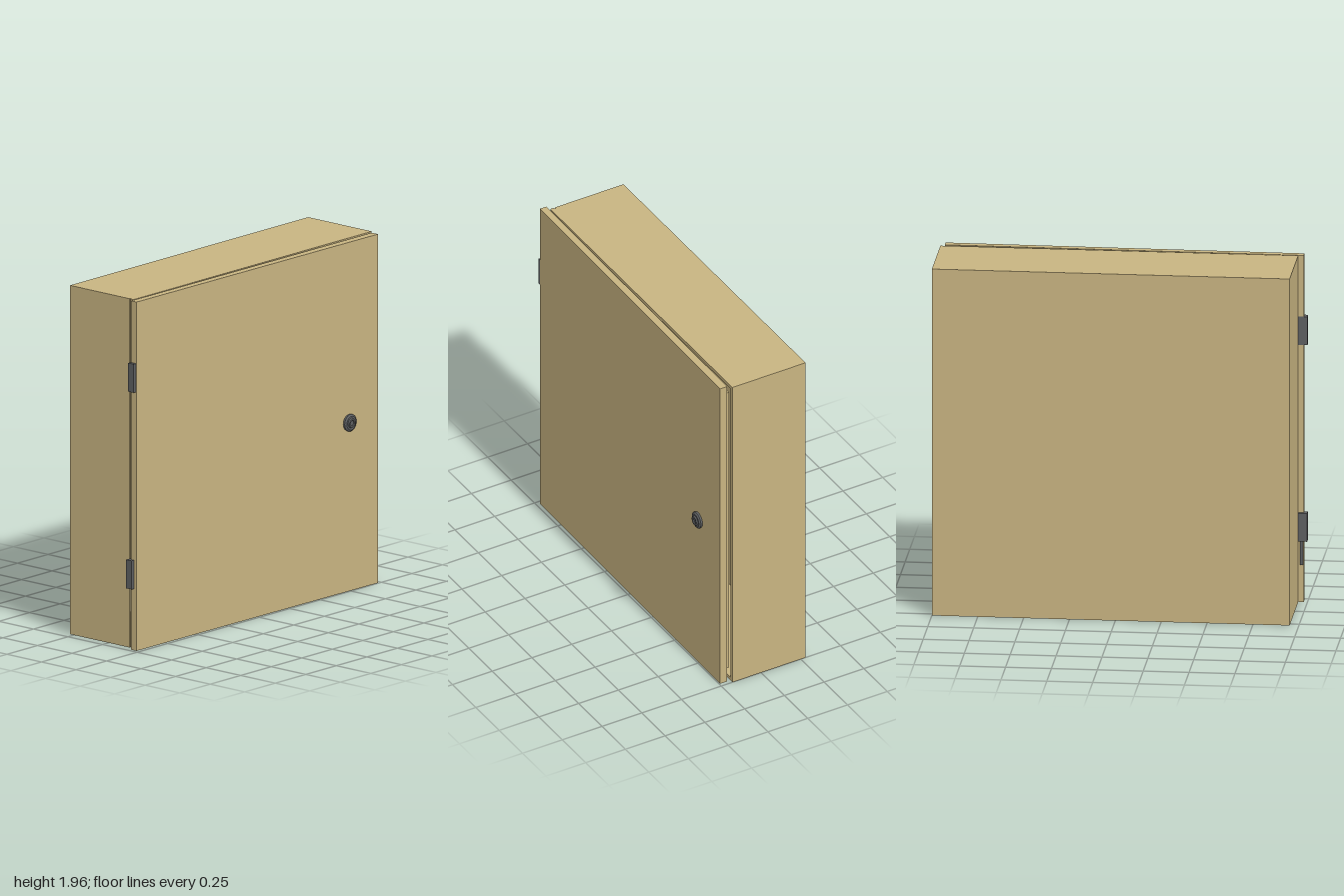
import * as THREE from 'three';

const tan = new THREE.MeshStandardMaterial({ color: 0xc8b481 });
tan.name = 'tan paint';
const steel = new THREE.MeshStandardMaterial({ color: 0x5e6062 });
steel.name = 'dark steel';

const H = 1.955;

function add(parent, name, geometry, material) {
  const mesh = new THREE.Mesh(geometry, material);
  mesh.name = name;
  parent.add(mesh);
  return mesh;
}

// Box given by its minimum and maximum corners
function box(parent, name, a, b, material = tan) {
  const g = new THREE.BoxGeometry(b[0] - a[0], b[1] - a[1], b[2] - a[2]);
  g.translate((a[0] + b[0]) / 2, (a[1] + b[1]) / 2, (a[2] + b[2]) / 2);
  return add(parent, name, g, material);
}

export function createModel() {
  const model = new THREE.Group();
  model.name = 'wallCabinet';

  // Hollow body, open towards the door
  const body = new THREE.Group();
  body.name = 'body';
  model.add(body);
  const t = 0.02;
  box(body, 'rearPanel', [-0.28, 0, -1], [-0.26, H, 0.95]);
  box(body, 'floorPanel', [-0.26, 0, -1], [0.18, t, 0.94]);
  box(body, 'topPanel', [-0.26, H - t, -1], [0.18, H, 0.94]);
  box(body, 'lockSidePanel', [-0.26, t, -1], [0.18, H - t, -0.98]);
  box(body, 'hingeSideInner', [-0.26, t, 0.93], [0.18, H - t, 0.94]);
  // Outer skin of the hinge side, with a narrow groove before the lip
  box(body, 'hingeSidePanel', [-0.26, 0, 0.94], [0.151, H, 0.95]);
  box(body, 'hingeSideLip', [0.158, 0, 0.94], [0.18, H, 0.95]);

  // Inset rim filling most of the gap between body and door
  const rim = new THREE.Group();
  rim.name = 'doorRim';
  model.add(rim);
  for (const y of [0.065, 1.87]) {
    box(rim, 'rimRail', [0.172, y, -0.95], [0.205, y + 0.02, 0.93]);
  }
  for (const z of [-0.95, 0.91]) {
    box(rim, 'rimStile', [0.172, 0.085, z], [0.205, 1.87, z + 0.02]);
  }

  // Door, standing very slightly ajar at the lock side
  const plan = new THREE.Shape([
    new THREE.Vector2(0.188, -0.98), new THREE.Vector2(0.228, -0.98),
    new THREE.Vector2(0.245, 0.978), new THREE.Vector2(0.2, 0.978),
  ]);
  const doorGeo = new THREE.ExtrudeGeometry(plan, { depth: H, bevelEnabled: false });
  doorGeo.rotateX(-Math.PI / 2);
  add(model, 'door', doorGeo, tan);

  // Hinges: a block proud of the door edge and a slim pin beside it
  const hinges = [
    { x: 0.185, y: 1.45, pinX: 0.197, pinY: 1.61, pinTop: 1.745 },
    { x: 0.17, y: 0.345, pinX: 0.186, pinY: 0.21, pinTop: 0.345 },
  ];
  for (const h of hinges) {
    const hinge = new THREE.Group();
    hinge.name = 'hinge';
    model.add(hinge);
    box(hinge, 'hingeBlock', [h.x, h.y, 0.95], [h.x + 0.04, h.y + 0.16, 1], steel);
    const pin = new THREE.CylinderGeometry(0.008, 0.008, h.pinTop - h.pinY, 12);
    pin.translate(h.pinX, (h.pinTop + h.pinY) / 2, 0.968);
    add(hinge, 'hingePin', pin, steel);
  }

  // Round stepped lock on the door face
  const profile = [[0, -0.01], [0.042, -0.01], [0.048, 0.004], [0.048, 0.012],
    [0.038, 0.019], [0.028, 0.019], [0.025, 0.027], [0.016, 0.027],
    [0.014, 0.021], [0, 0.021]].map(([r, y]) => new THREE.Vector2(r, y));
  const knobGeo = new THREE.LatheGeometry(profile, 24).toNonIndexed();
  knobGeo.computeVertexNormals();
  const knob = add(model, 'lockKnob', knobGeo, steel);
  knob.rotation.z = -Math.PI / 2;
  knob.position.set(0.243, 0.945, -0.742);

  return model;
}
